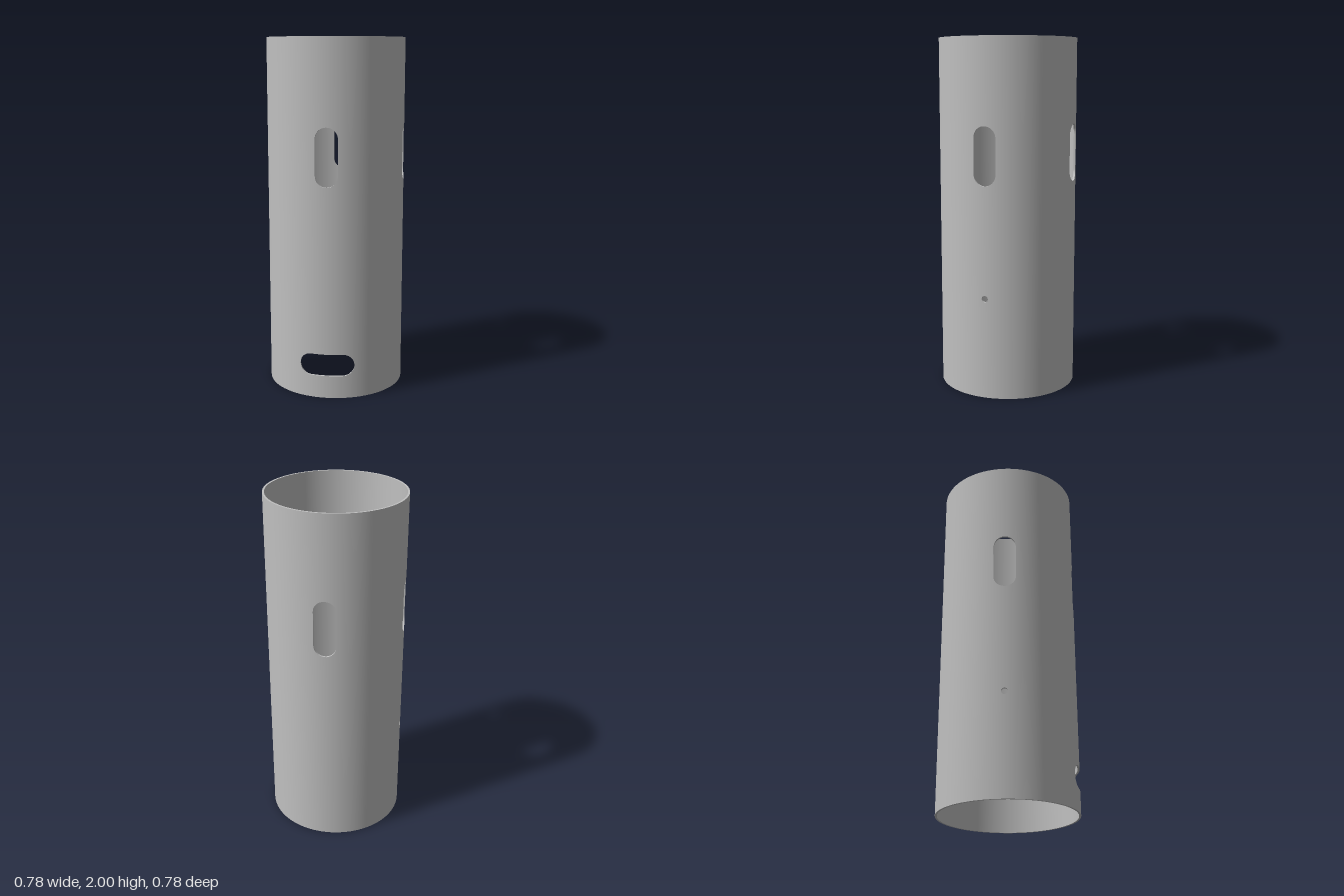
import * as THREE from 'three';

const OUTER = 0.392, INNER = 0.381, HEIGHT = 2;

// Rounded slots cut straight through the wall: centre height, half width, half height
const slot = { y: 1.363, w: 0.063, h: 0.162 };
const pinHole = { y: 0.573, w: 0.018, h: 0.018 };
const lowerSlot = { y: 0.193, w: 0.153, h: 0.063 };

// Quarters in turn: front, left, back, right; holes listed from bottom to top
const quarters = [
  ['frontWall', [lowerSlot, slot]],
  ['leftWall', [pinHole, slot]],
  ['backWall', [slot]],
  ['rightWall', [pinHole, slot]],
];

// Half height of a hole at sideways offset u
function halfHeight(hole, u) {
  const r = Math.min(hole.w, hole.h);
  const d = Math.min(r, Math.max(0, Math.abs(u) - (hole.w - r)));
  return hole.h - r + Math.sqrt(r * r - d * d);
}

// Columns of one quarter: offset u with the matching angles on both skins
function makeColumns(holes) {
  const offsets = new Set();
  for (const hole of holes) {
    const r = Math.min(hole.w, hole.h);
    for (let i = 0; i <= 12; i++) {
      const u = hole.w - r + r * Math.sin((i / 12) * Math.PI / 2);
      offsets.add(u.toFixed(5)).add((-u).toFixed(5));
    }
  }
  const us = [...new Set([...offsets].map(s => Number(s) + 0))].sort((a, b) => a - b);
  const cols = us.map(u => ({ u, out: Math.asin(u / OUTER), inn: Math.asin(u / INNER) }));
  const last = cols[cols.length - 1], steps = 14;
  for (let i = 1; i <= steps; i++) {
    const t = i / steps;
    const out = THREE.MathUtils.lerp(last.out, Math.PI / 4, t);
    const inn = THREE.MathUtils.lerp(last.inn, Math.PI / 4, t);
    const u = OUTER * Math.sin(out);
    cols.push({ u, out, inn });
    cols.unshift({ u: -u, out: -out, inn: -inn });
  }
  return cols;
}

function wallGeometry(holes) {
  const positions = [], normals = [];
  const outer = (c, y) => new THREE.Vector3(OUTER * Math.sin(c.out), y, OUTER * Math.cos(c.out));
  const inner = (c, y) => new THREE.Vector3(INNER * Math.sin(c.inn), y, INNER * Math.cos(c.inn));

  // Counter-clockwise quad; radial = 1 or -1 gives smooth skin normals, 0 a flat face
  function quad(a, b, c, d, radial = 0) {
    const flat = c.clone().sub(a).cross(d.clone().sub(b)).normalize();
    for (const p of [a, b, c, a, c, d]) {
      const n = radial ? new THREE.Vector3(p.x, 0, p.z).normalize().multiplyScalar(radial) : flat;
      positions.push(p.x, p.y, p.z);
      normals.push(n.x, n.y, n.z);
    }
  }

  const cols = makeColumns(holes);
  for (let i = 0; i < cols.length - 1; i++) {
    const a = cols[i], b = cols[i + 1];
    const cut = holes.filter(h => Math.abs((a.u + b.u) / 2) < h.w);

    // Solid stretches between the bottom rim, the holes and the top rim
    const edges = [[0, 0]];
    for (const h of cut) {
      const ha = halfHeight(h, a.u), hb = halfHeight(h, b.u);
      edges.push([h.y - ha, h.y - hb], [h.y + ha, h.y + hb]);
    }
    edges.push([HEIGHT, HEIGHT]);

    for (let k = 0; k < edges.length; k += 2) {
      const [a0, b0] = edges[k], [a1, b1] = edges[k + 1];
      quad(outer(a, a0), outer(b, b0), outer(b, b1), outer(a, a1), 1);
      quad(inner(b, b0), inner(a, a0), inner(a, a1), inner(b, b1), -1);
      quad(outer(a, a1), outer(b, b1), inner(b, b1), inner(a, a1));
      quad(inner(a, a0), inner(b, b0), outer(b, b0), outer(a, a0));
    }
  }

  // Upright sides of the tall slots
  for (const h of holes.filter(h => h.h > h.w)) {
    const straight = h.h - h.w;
    for (const side of [-1, 1]) {
      const u = side * h.w;
      const c = { out: Math.asin(u / OUTER), inn: Math.asin(u / INNER) };
      const low = h.y - straight, high = h.y + straight;
      if (side < 0) quad(outer(c, low), inner(c, low), inner(c, high), outer(c, high));
      else quad(inner(c, low), outer(c, low), outer(c, high), inner(c, high));
    }
  }

  const geometry = new THREE.BufferGeometry();
  geometry.setAttribute('position', new THREE.Float32BufferAttribute(positions, 3));
  geometry.setAttribute('normal', new THREE.Float32BufferAttribute(normals, 3));
  return geometry;
}

export function createModel() {
  const group = new THREE.Group();
  group.name = 'slottedTube';
  const grey = new THREE.MeshStandardMaterial({ color: 0xc0c0c0 });
  grey.name = 'grey';

  quarters.forEach(([name, holes], i) => {
    const wall = new THREE.Mesh(wallGeometry(holes), grey);
    wall.name = name;
    wall.rotation.y = i * Math.PI / 2;
    group.add(wall);
  });
  return group;
}
